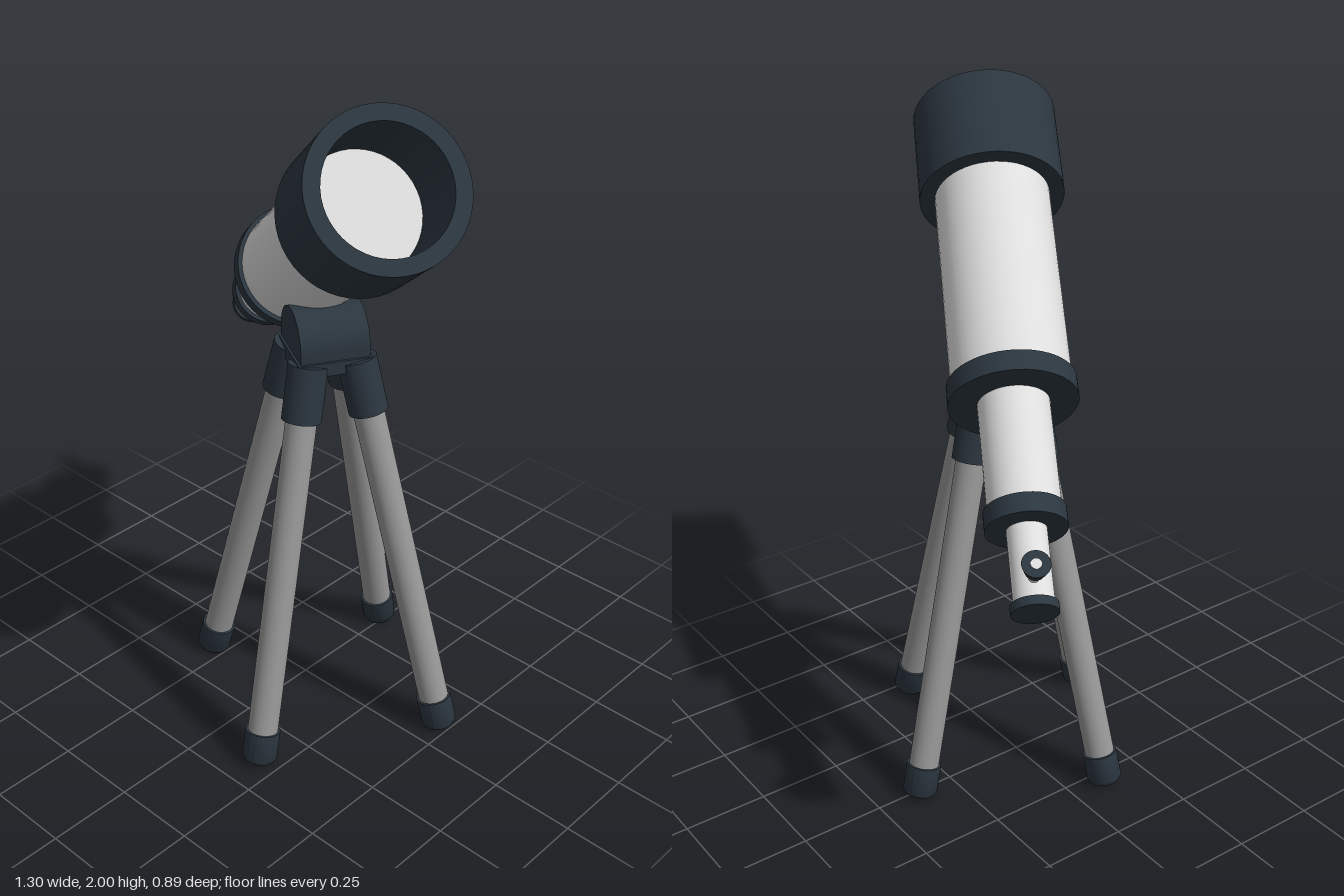
import * as THREE from 'three';
import { toCreasedNormals } from 'three/addons/utils/BufferGeometryUtils.js';

const SEG = 48;

function material(name, color) {
  const m = new THREE.MeshStandardMaterial({ color });
  m.name = name;
  return m;
}

function add(parent, name, geometry, mat) {
  const mesh = new THREE.Mesh(geometry, mat);
  mesh.name = name;
  parent.add(mesh);
  return mesh;
}

// Closed cylinder running from y = from to y = to
function rod(r0, r1, from, to) {
  return new THREE.CylinderGeometry(r1, r0, to - from, SEG).translate(0, (from + to) / 2, 0);
}

// Turned part with crisp corners
function turned(points) {
  const profile = points.map(([r, y]) => new THREE.Vector2(r, y));
  return toCreasedNormals(new THREE.LatheGeometry(profile, SEG), 0.6);
}

export function createModel() {
  const white = material('white tube', 0xdddddd);
  const grey = material('grey leg', 0x989898);
  const dark = material('dark slate', 0x2b363f);

  const model = new THREE.Group();
  model.name = 'telescope';

  // Everything is turned 30 degrees about the tripod's centre
  const turn = new THREE.Group();
  turn.name = 'turnedAssembly';
  turn.position.set(0.085, 0, 0.012);
  turn.rotation.y = -Math.PI / 6;
  model.add(turn);

  // Tripod legs: foot, shaft and socket along each leaning axis
  const lean = 0.251;
  for (let i = 0; i < 4; i++) {
    const spoke = new THREE.Group();
    spoke.name = 'legSpoke';
    spoke.rotation.y = Math.PI / 4 + i * Math.PI / 2;
    turn.add(spoke);
    const leg = new THREE.Group();
    leg.name = 'leg';
    leg.position.set(0.395, 0.0108, 0);
    leg.rotation.z = lean;
    spoke.add(leg);
    add(leg, 'foot', turned([[0, 0], [0.043, 0], [0.051, 0.012], [0.051, 0.095], [0.04, 0.095]]), dark);
    add(leg, 'legShaft', rod(0.044, 0.044, 0.08, 1.1), grey);
    add(leg, 'legSocket', rod(0.056, 0.056, 1.04, 1.2), dark);
  }

  // Mount: square plate and an arched saddle under the tube
  const plate = add(turn, 'mountPlate', new THREE.BoxGeometry(0.21, 0.04, 0.21), dark);
  plate.position.y = 1.167;
  const a = 0.098;
  const arch = new THREE.Shape();
  arch.moveTo(-a, 0);
  arch.lineTo(a, 0);
  arch.lineTo(a, 0.03);
  arch.absarc(0, 0.03, a, 0, Math.PI, false);
  arch.closePath();
  const archGeo = new THREE.ExtrudeGeometry(arch, { depth: 2 * a, bevelEnabled: false, curveSegments: 24 });
  const saddle = add(turn, 'saddle', toCreasedNormals(archGeo, 0.6), dark);
  saddle.position.set(0, 1.184, -a);

  // Optical tube, built along y from the eyepiece end and tilted up 35 degrees
  const tilt = new THREE.Group();
  tilt.name = 'tiltedTube';
  tilt.position.y = 1.496;
  tilt.rotation.z = -55 * Math.PI / 180;
  turn.add(tilt);
  const tube = new THREE.Group();
  tube.name = 'opticalTube';
  tube.position.y = -0.975;
  tilt.add(tube);

  add(tube, 'eyepieceCap', rod(0.062, 0.062, 0, 0.025), dark);
  add(tube, 'eyepieceTube', rod(0.053, 0.053, 0.02, 0.25), white);
  add(tube, 'rearRing', rod(0.108, 0.108, 0.23, 0.285), dark);
  add(tube, 'drawTube', rod(0.097, 0.097, 0.27, 0.62), white);
  add(tube, 'middleRing', rod(0.175, 0.175, 0.6, 0.66), dark);
  add(tube, 'mainTube', rod(0.163, 0.163, 0.64, 1.312), white);
  add(tube, 'hood', turned([
    [0.15, 1.277], [0.206, 1.277], [0.206, 1.567], [0.163, 1.567], [0.163, 1.3],
  ]), dark);

  // Small flared knob on a stem above the eyepiece
  const knob = new THREE.Group();
  knob.name = 'focusKnob';
  knob.position.y = 0.075;
  knob.rotation.z = Math.PI / 2;
  tube.add(knob);
  add(knob, 'knobStem', rod(0.014, 0.014, 0.03, 0.134), white);
  add(knob, 'knobHead', rod(0.026, 0.037, 0.09, 0.132), dark);

  return model;
}
